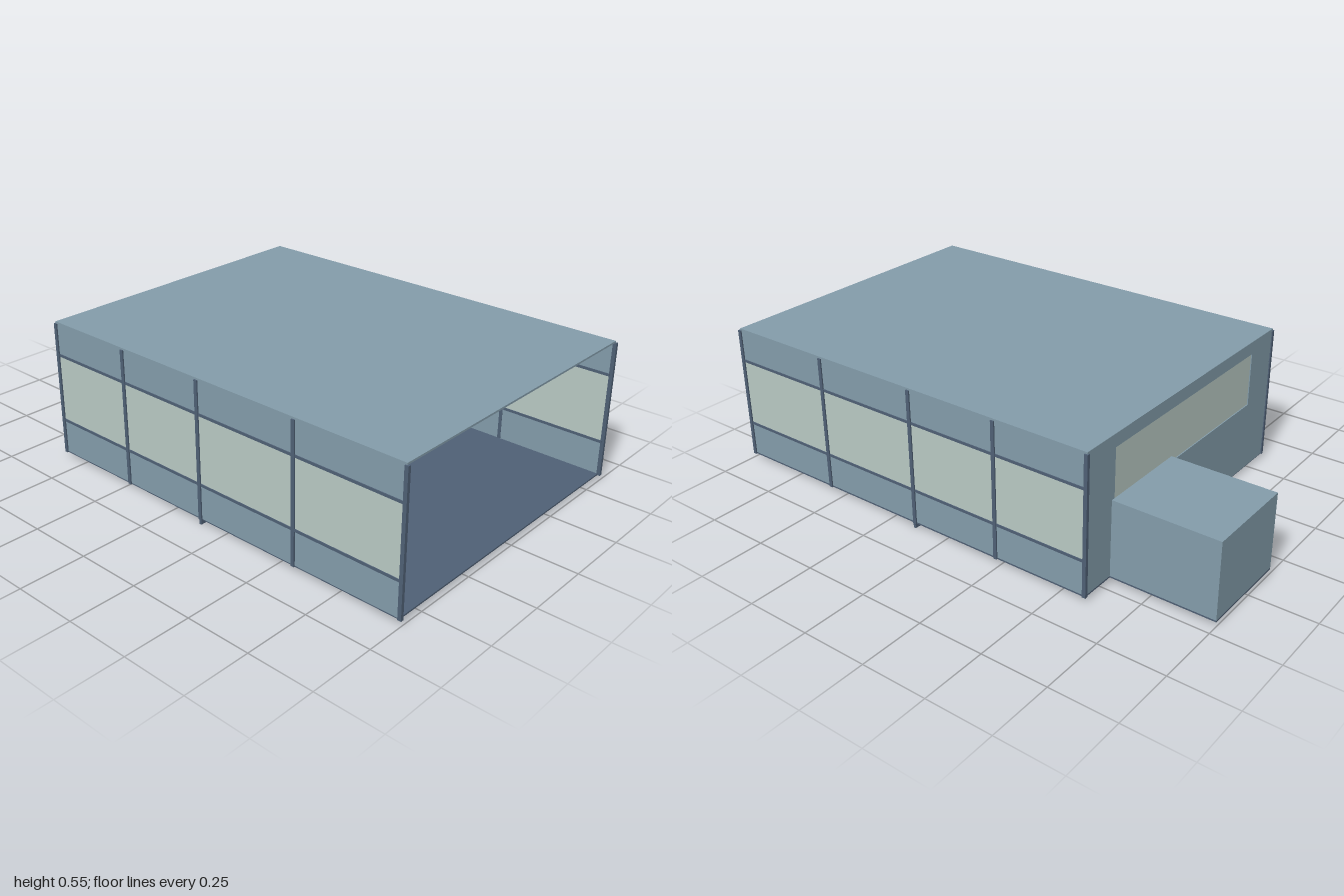
import * as THREE from 'three';
import { RoundedBoxGeometry } from 'three/addons/geometries/RoundedBoxGeometry.js';

const mat = (name, color) => {
  const m = new THREE.MeshStandardMaterial({ color });
  m.name = name;
  return m;
};

export function createModel() {
  const blue = mat('wall blue', 0x839caa);
  const pale = mat('pale glass', 0xb9c9c3);
  const dark = mat('dark slate', 0x4f6075);
  const orange = mat('terracotta', 0xbc7d68);
  const root = new THREE.Group();
  root.name = 'galleyRoom';

  const group = (name) => {
    const g = new THREE.Group();
    g.name = name;
    root.add(g);
    return g;
  };
  const put = (parent, name, geo, material, x = 0, y = 0, z = 0) => {
    const m = new THREE.Mesh(geo, material);
    m.name = name;
    m.position.set(x, y, z);
    parent.add(m);
    return m;
  };
  // Box given by its lower and upper limits
  const box = (parent, name, material, [x0, x1], [y0, y1], [z0, z1]) =>
    put(parent, name, new THREE.BoxGeometry(x1 - x0, y1 - y0, z1 - z0), material,
      (x0 + x1) / 2, (y0 + y1) / 2, (z0 + z1) / 2);
  const rectPath = (path, x0, x1, y0, y1) => {
    path.moveTo(x0, y0).lineTo(x1, y0).lineTo(x1, y1).lineTo(x0, y1).closePath();
    return path;
  };
  // Rectangular ring facing the front
  const ring = (parent, name, material, [x0, x1], [y0, y1], t, depth, z) => {
    const s = rectPath(new THREE.Shape(), x0, x1, y0, y1);
    s.holes.push(rectPath(new THREE.Path(), x0 + t, x1 - t, y0 + t, y1 - t));
    return put(parent, name, new THREE.ExtrudeGeometry(s, { depth, bevelEnabled: false }), material, 0, 0, z);
  };

  // Shell
  const shell = group('shell');
  box(shell, 'floor', dark, [-0.6, 0.6], [0.018, 0.024], [-0.6, 0.99]);
  box(shell, 'roof', blue, [-0.6, 0.6], [0.543, 0.55], [-0.6, 0.993]);
  box(shell, 'floorRunner', dark, [-0.604, 0.604], [0, 0.018], [0.134, 0.144]);

  // Side walls: two solid bands, a glass band, rails and posts
  const stations = [0.993, 0.564, 0.138, -0.23, -0.597];
  for (const s of [1, -1]) {
    const wall = group(s > 0 ? 'leftWall' : 'rightWall');
    const band = (name, m, y0, y1, inner, outer, z0 = -0.6, z1 = 0.99) =>
      box(wall, name, m, s > 0 ? [inner, outer] : [-outer, -inner], [y0, y1], [z0, z1]);
    band('lowerBand', blue, 0.022, 0.155, 0.594, 0.6);
    band('windowBand', pale, 0.155, 0.42, 0.594, 0.6);
    band('upperBand', blue, 0.42, 0.549, 0.594, 0.6);
    for (const y of [0.155, 0.42]) band('rail', dark, y - 0.005, y + 0.005, 0.591, 0.603);
    for (const z of stations) band('post', dark, 0.018, 0.543, 0.593, 0.605, z - 0.007, z + 0.007);
  }

  // Back wall with its long window
  const back = group('backWall');
  const wallShape = rectPath(new THREE.Shape(), -0.6, 0.6, 0.02, 0.548);
  wallShape.holes.push(rectPath(new THREE.Path(), -0.445, 0.445, 0.293, 0.5));
  put(back, 'wallPanel', new THREE.ExtrudeGeometry(wallShape, { depth: 0.012, bevelEnabled: false }), blue, 0, 0, -0.6);
  box(back, 'windowPane', pale, [-0.445, 0.445], [0.293, 0.5], [-0.596, -0.59]);
  ring(back, 'windowFrame', dark, [-0.45, 0.45], [0.288, 0.505], 0.009, 0.02, -0.594);
  for (const x of [-0.475, 0.475]) box(back, 'wallPlate', pale, [x - 0.006, x + 0.006], [0.328, 0.4], [-0.59, -0.575]);

  // Outside annex
  const annex = group('annex');
  box(annex, 'annexBody', blue, [0.1, 0.46], [0.024, 0.315], [-1, -0.6]);
  box(annex, 'annexFloor', dark, [0.1, 0.46], [0.018, 0.024], [-1, -0.6]);

  // Drawers along the back wall
  const drawers = group('drawers');
  for (const x of [-0.52, -0.365, -0.212, -0.057, 0.477]) {
    for (const y of [0.25, 0.163, 0.077]) {
      put(drawers, 'drawerFront', new RoundedBoxGeometry(0.14, 0.073, 0.03, 2, 0.01), pale, x, y, -0.575);
      const grip = new THREE.CapsuleGeometry(0.006, 0.04, 4, 8).rotateZ(Math.PI / 2);
      put(drawers, 'drawerHandle', grip, dark, x, y + 0.003, -0.557);
    }
  }

  // Round dial with a terracotta centre
  const disc = (r, d) => new THREE.CylinderGeometry(r, r, d, 32).rotateX(Math.PI / 2);
  const dial = group('roundDial');
  put(dial, 'dialRim', disc(0.077, 0.02), dark, -0.265, 0.385, -0.57);
  put(dial, 'dialCentre', disc(0.048, 0.008), orange, -0.265, 0.385, -0.557);

  // Pan with a straight handle
  const pan = group('pan');
  put(pan, 'panBody', disc(0.038, 0.015), pale, -0.11, 0.382, -0.575);
  box(pan, 'panHandle', pale, [-0.09, 0.006], [0.348, 0.379], [-0.582, -0.568]);

  // Slim open rack
  const rack = group('rack');
  for (const x of [-0.411, -0.153]) {
    for (const z of [-0.5, -0.38]) box(rack, 'rackPost', dark, [x - 0.003, x + 0.003], [0.02, 0.292], [z - 0.003, z + 0.003]);
  }
  for (const y of [0.08, 0.152, 0.225, 0.29]) {
    box(rack, 'rackShelf', dark, [-0.411, -0.153], [y - 0.003, y + 0.003], [-0.503, -0.377]);
  }

  // Stool
  const stool = group('stool');
  put(stool, 'stoolSeat', new RoundedBoxGeometry(0.166, 0.016, 0.166, 2, 0.006), orange, 0.283, 0.248, -0.38);
  for (const x of [0.205, 0.361]) {
    for (const z of [-0.456, -0.304]) box(stool, 'stoolLeg', dark, [x - 0.004, x + 0.004], [0.02, 0.242], [z - 0.004, z + 0.004]);
  }
  for (const z of [-0.456, -0.304]) box(stool, 'stoolRung', pale, [0.208, 0.358], [0.093, 0.098], [z - 0.003, z + 0.003]);

  // Low tray on the floor
  const tray = group('lowTray');
  box(tray, 'trayBody', blue, [-0.13, 0.128], [0.026, 0.076], [-0.18, -0.08]);
  box(tray, 'trayPanel', dark, [-0.1, 0.095], [0.028, 0.075], [-0.08, -0.074]);
  ring(tray, 'trayFrame', orange, [-0.137, 0.135], [0.022, 0.082], 0.004, 0.01, -0.083);
  for (const x of [-0.124, 0.12]) box(tray, 'trayStrap', orange, [x - 0.003, x + 0.003], [0.026, 0.076], [-0.08, -0.074]);
  for (const x of [-0.11, -0.03, 0.1]) box(tray, 'trayFoot', orange, [x - 0.015, x + 0.015], [0.016, 0.026], [-0.083, -0.073]);

  return root;
}
